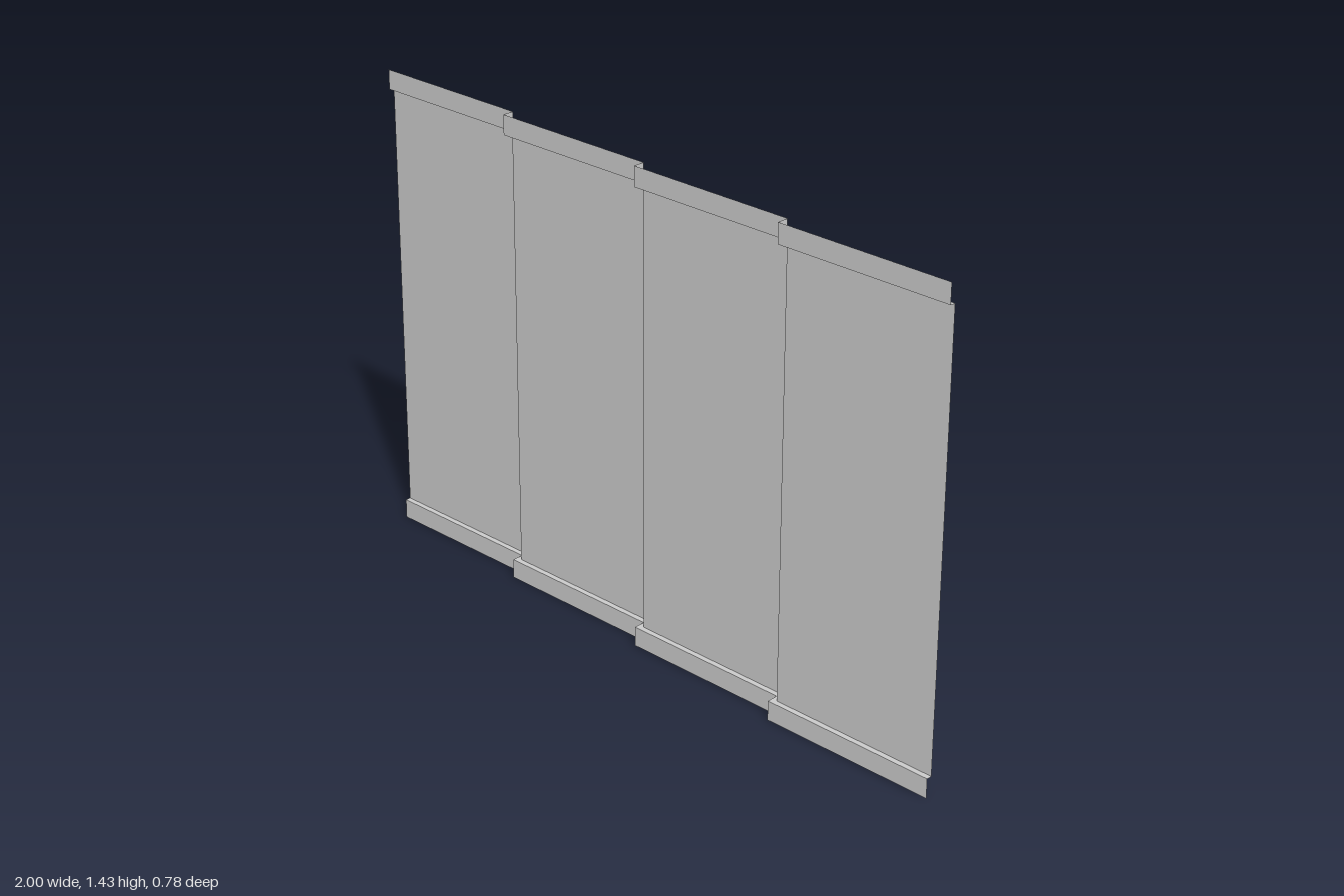
import * as THREE from 'three';

const PANEL = 0.534, END_PANEL = 0.531; // run of inner and outer panels
const STEP = 0.035;                     // forward step between panels
const OFFSET = 0.0165;                  // rails stand this far in front of the panels
const ANGLE = 0.316;                    // turn of the whole wall
const Y = [0, 0.059, 1.371, 1.43];      // rail and panel heights

const material = new THREE.MeshStandardMaterial({
  color: 0xcccccc, flatShading: true, side: THREE.DoubleSide,
});

// Stepped plan line of four panels, optionally offset to the front with mitred corners
function planLine(d) {
  const points = [[-PANEL - END_PANEL, -2 * STEP + d]];
  for (let i = -1; i <= 1; i++) {
    points.push([i * PANEL - d, (i - 1) * STEP + d], [i * PANEL - d, i * STEP + d]);
  }
  points.push([PANEL + END_PANEL, STEP + d]);
  return points;
}

// Thin folded sheet between a lower and an upper plan line
function sheet(name, lower, y0, upper, y1) {
  const positions = [];
  for (let i = 0; i < lower.length - 1; i++) {
    const a = [lower[i][0], y0, lower[i][1]], b = [lower[i + 1][0], y0, lower[i + 1][1]];
    const c = [upper[i + 1][0], y1, upper[i + 1][1]], d = [upper[i][0], y1, upper[i][1]];
    positions.push(...a, ...b, ...c, ...a, ...c, ...d);
  }
  const geometry = new THREE.BufferGeometry();
  geometry.setAttribute('position', new THREE.Float32BufferAttribute(positions, 3));
  geometry.computeVertexNormals();
  const mesh = new THREE.Mesh(geometry, material);
  mesh.name = name;
  return mesh;
}

export function createModel() {
  const panel = planLine(0), rail = planLine(OFFSET);
  const wall = new THREE.Group();
  wall.name = 'steppedWall';
  wall.add(
    sheet('bottomRail', rail, Y[0], rail, Y[1]),
    sheet('bottomLedge', rail, Y[1], panel, Y[1]),
    sheet('panels', panel, Y[1], panel, Y[2]),
    sheet('topLedge', panel, Y[2], rail, Y[2]),
    sheet('topRail', rail, Y[2], rail, Y[3]),
  );
  wall.rotation.y = -ANGLE;
  wall.position.set(-0.002, 0, 0.009);

  const model = new THREE.Group();
  model.name = 'wallPanelRun';
  model.add(wall);
  return model;
}
